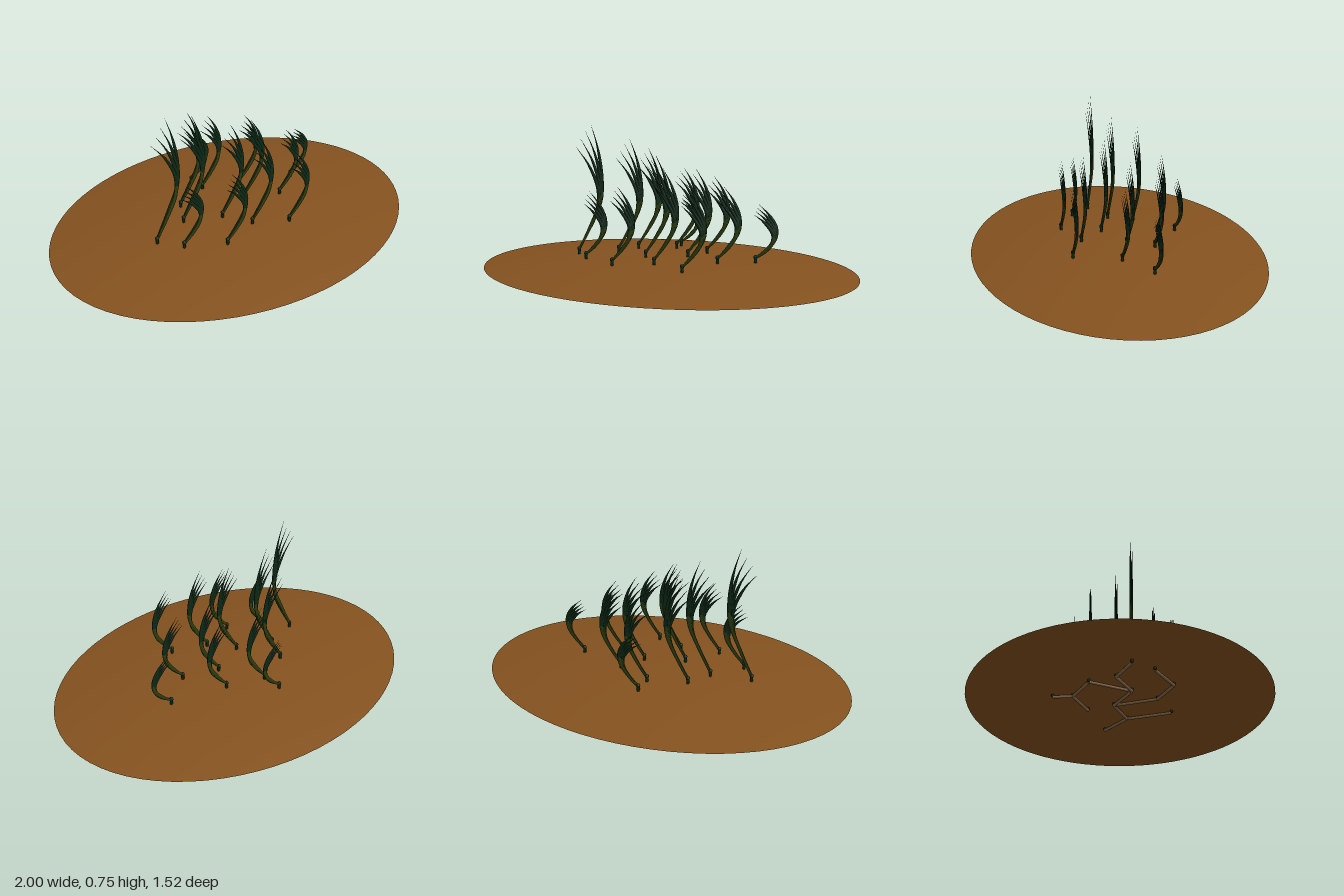
import * as THREE from 'three';

const material = (name, color, extra = {}) => {
  const m = new THREE.MeshStandardMaterial({ color, ...extra });
  m.name = name;
  return m;
};

// Shoots: base x, base z, height of the tallest tip
const SHOOTS = [
  [-0.04, -0.335, 0.36], [-0.03, -0.235, 0.51], [-0.22, -0.15, 0.62], [0.17, -0.165, 0.48],
  [0.46, -0.08, 0.355], [-0.28, -0.02, 0.675], [0.11, -0.03, 0.53], [-0.48, 0.052, 0.75],
  [-0.09, 0.06, 0.605], [0.295, 0.04, 0.455], [-0.385, 0.16, 0.41], [0.01, 0.19, 0.555],
  [-0.19, 0.26, 0.46], [0.19, 0.27, 0.46],
];
// Pairs of shoots joined by a buried runner
const RUNNERS = [[4, 9], [9, 13], [9, 6], [6, 11], [11, 12], [12, 10], [6, 8], [8, 5], [5, 7], [8, 2], [2, 1], [1, 3], [1, 0]];

const RX = 1, RZ = 0.76, RISE = 0.066;
const ground = (x, z) => RISE * (1 - (x / RX) ** 2 - (z / RZ) ** 2);

// Flattened tube in the xy plane that swells in the middle and tapers to a tip
function bladeGeometry(curve, halfWidth, halfDepth) {
  const segments = 22, sides = 6;
  const geo = new THREE.TubeGeometry(curve, segments, 1, sides);
  const pos = geo.attributes.position;
  const v = new THREE.Vector3();
  for (let i = 0; i <= segments; i++) {
    const t = i / segments;
    const centre = curve.getPointAt(t);
    const swell = (0.5 + 0.5 * Math.sin(Math.PI * Math.min(1, t * 1.1))) * Math.min(1, (1 - t) * 4 + 0.04);
    for (let j = 0; j <= sides; j++) {
      const k = i * (sides + 1) + j;
      v.fromBufferAttribute(pos, k).sub(centre);
      v.x *= halfWidth * swell;
      v.y *= halfWidth * swell;
      v.z *= halfDepth * swell;
      v.add(centre);
      pos.setXYZ(k, v.x, v.y, v.z);
    }
  }
  geo.computeVertexNormals();
  // Lower part olive, upper part dark green
  const split = Math.round(segments * 0.5) * sides * 6;
  geo.addGroup(0, split, 0);
  geo.addGroup(split, segments * sides * 6 - split, 1);
  return geo;
}

export function createModel() {
  const model = new THREE.Group();
  const soil = material('soil brown', 0x85521f, { side: THREE.DoubleSide });
  const olive = material('olive green', 0x2c3d10);
  const green = material('deep green', 0x0d2815);
  const tan = material('runner tan', 0x8a6a48);

  // Shallow open mound
  const profile = [];
  for (let i = 0; i <= 16; i++) {
    const r = 1 - i / 16;
    profile.push(new THREE.Vector2(r, RISE * (1 - r * r)));
  }
  const mound = new THREE.Mesh(new THREE.LatheGeometry(profile, 72), soil);
  mound.scale.set(RX, 1, RZ);
  mound.name = 'seabedMound';
  model.add(mound);

  // Grass shoots
  SHOOTS.forEach(([x, z, top], n) => {
    const y0 = ground(x, z);
    const shoot = new THREE.Group();
    shoot.name = `grassShoot${n + 1}`;
    shoot.position.set(x, y0, z);

    const sheath = new THREE.Mesh(new THREE.CylinderGeometry(0.009, 0.007, 0.045, 8), green);
    sheath.position.y = 0.01;
    sheath.name = 'sheath';
    const collar = new THREE.Mesh(new THREE.SphereGeometry(0.011, 8, 6), green);
    collar.position.y = 0.03;
    collar.name = 'collar';
    shoot.add(sheath, collar);

    const tallest = top - y0;
    const tip0 = 0.012 + (top - 0.355) * 0.16;
    const bulge = 0.108 + (top - 0.355) * 0.08;
    for (let i = 0; i < 4; i++) {
      const f = i / 3;
      const h = tallest * (1 - 0.17 * f);
      const b = bulge * (1 - 0.13 * f);
      const tip = THREE.MathUtils.lerp(tip0, -0.012, f);
      const curve = new THREE.CatmullRomCurve3([
        [0, 0.025], [b * 0.52, h * 0.24], [b * 0.93, h * 0.43],
        [b * 0.97, h * 0.62], [THREE.MathUtils.lerp(b, tip, 0.42), h * 0.83], [tip, h],
      ].map(([px, py]) => new THREE.Vector3(px, py, 0)));
      const blade = new THREE.Mesh(bladeGeometry(curve, 0.0115, 0.004), [olive, green]);
      blade.position.z = (i - 1.5) * 0.003;
      blade.name = `blade${i + 1}`;
      shoot.add(blade);
    }
    model.add(shoot);
  });

  // Buried runners under the mound
  const under = ([x, z]) => new THREE.Vector3(x, ground(x, z) - 0.014, z);
  RUNNERS.forEach(([a, b], n) => {
    const line = new THREE.LineCurve3(under(SHOOTS[a]), under(SHOOTS[b]));
    const runner = new THREE.Mesh(new THREE.TubeGeometry(line, 1, 0.008, 8), tan);
    runner.name = `runner${n + 1}`;
    model.add(runner);
  });
  return model;
}
